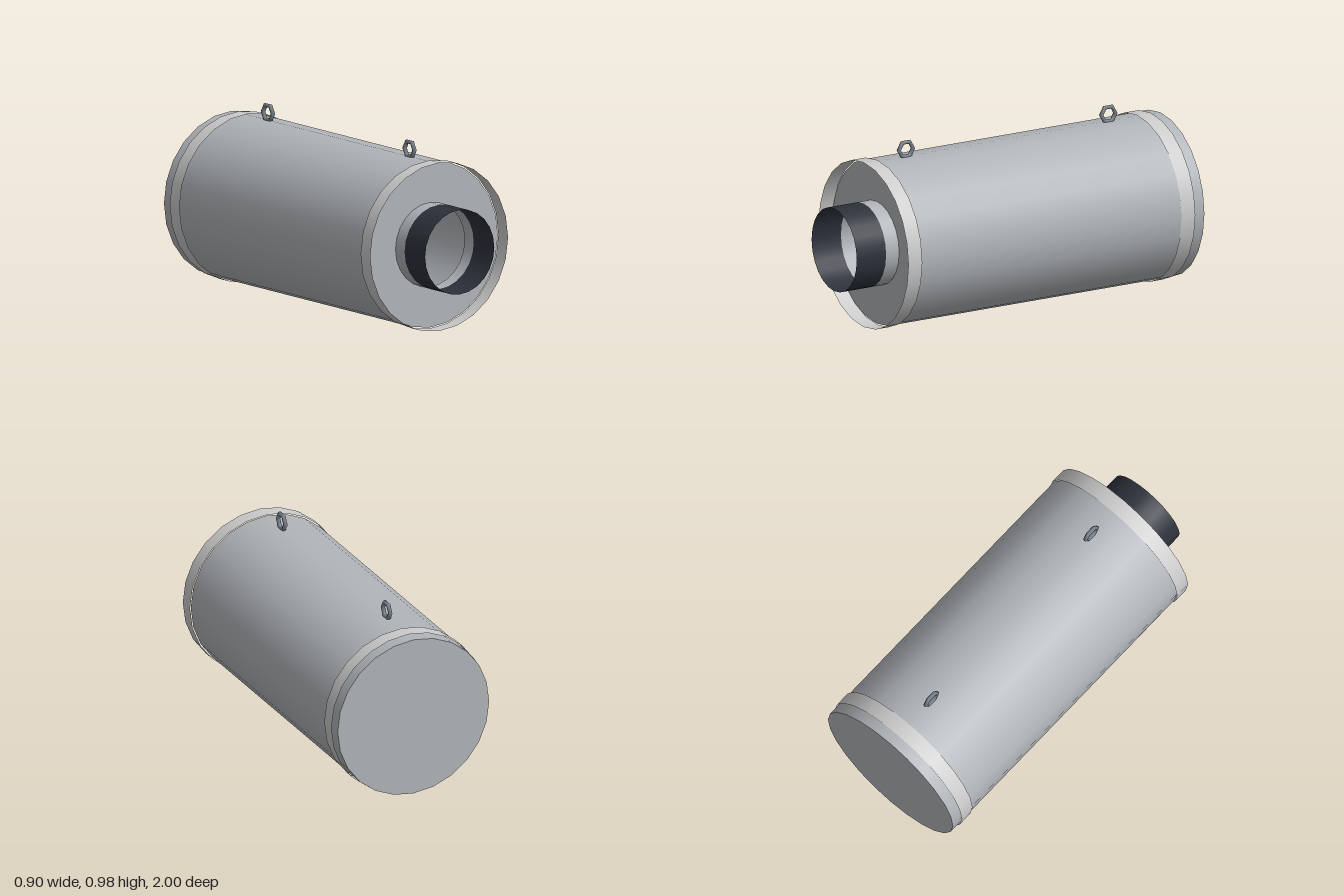
import * as THREE from 'three';

const SIDES = 24;
const AXIS_Y = 0.448;

export function createModel() {
  const model = new THREE.Group();
  const paint = (color) => new THREE.MeshStandardMaterial({ color, side: THREE.DoubleSide });
  const shellMat = paint(0xb0b4b8);
  const bandMat = paint(0xcccccc);
  const pipeMat = paint(0x2c313b);
  const ringMat = paint(0x7a838d);

  const add = (name, geometry, material, y, z) => {
    const mesh = new THREE.Mesh(geometry, material);
    mesh.name = name;
    mesh.position.set(0, y, z);
    model.add(mesh);
    return mesh;
  };

  // Open thin sleeve along z, between two depths
  const sleeve = (name, radius, z0, z1, material) => {
    const geometry = new THREE.CylinderGeometry(radius, radius, z1 - z0, SIDES, 1, true);
    geometry.rotateX(Math.PI / 2);
    return add(name, geometry, material, AXIS_Y, (z0 + z1) / 2);
  };

  // Hollow drum: wall, closed back, front plate with a round opening
  sleeve('drumWall', 0.441, -1, 0.74, shellMat);
  add('backPlate', new THREE.CircleGeometry(0.441, SIDES).rotateY(Math.PI), shellMat, AXIS_Y, -1);
  add('frontPlate', new THREE.RingGeometry(0.225, 0.441, SIDES), shellMat, AXIS_Y, 0.74);

  // Bands around the drum; the front one stands proud of the plate
  sleeve('frontBand', 0.448, 0.735, 0.82, bandMat);
  sleeve('rearBand', 0.448, -0.94, -0.855, bandMat);

  // Outlet neck and dark pipe
  sleeve('outletNeck', 0.225, 0.74, 0.82, shellMat);
  sleeve('outletPipe', 0.225, 0.82, 1, pipeMat);

  // Six-sided hanging rings on top
  for (const [name, z] of [['frontHangingRing', 0.56], ['rearHangingRing', -0.682]]) {
    const geometry = new THREE.TorusGeometry(0.0435, 0.0118, 8, 6).rotateY(Math.PI / 2);
    add(name, geometry, ringMat, 0.928, z);
  }

  return model;
}
